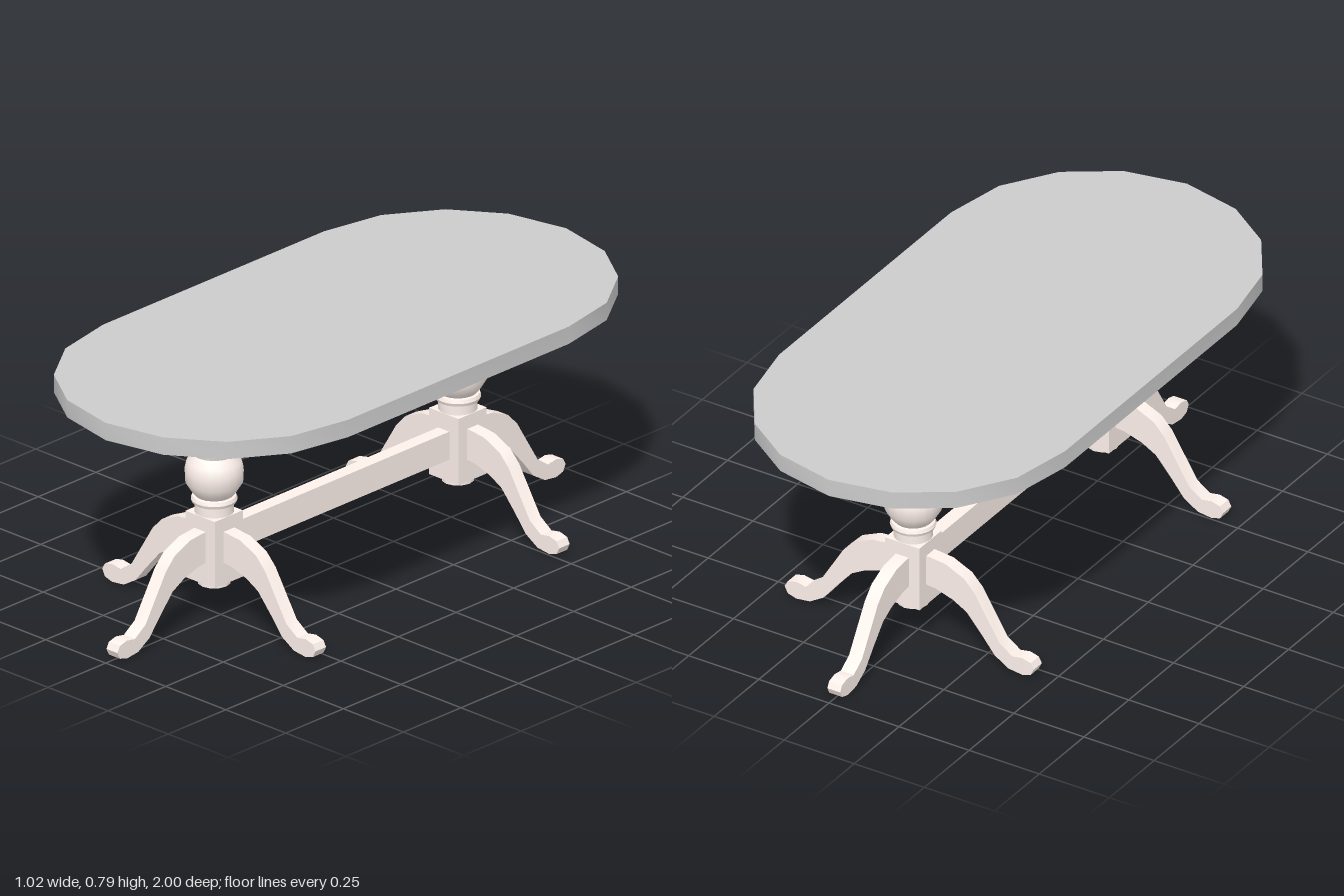
import * as THREE from 'three';
import { toCreasedNormals } from 'three/addons/utils/BufferGeometryUtils.js';

const wood = new THREE.MeshStandardMaterial({ color: 0xfdf0ea });
const grey = new THREE.MeshStandardMaterial({ color: 0xcccccc });
const CREASE = 0.65;

function part(name, geometry, material = wood) {
  const mesh = new THREE.Mesh(geometry, material);
  mesh.name = name;
  return mesh;
}

// Flat outline given thickness, centred on its own plane
function slab(points, depth) {
  const shape = new THREE.Shape(points.map(([x, y]) => new THREE.Vector2(x, y)));
  const geometry = new THREE.ExtrudeGeometry(shape, { depth, bevelEnabled: false });
  geometry.translate(0, 0, -depth / 2);
  return toCreasedNormals(geometry, CREASE);
}

// Oval top, mirrored from one quarter of its outline
function tableTop() {
  const q = [[0.51, 0.48], [0.47, 0.685], [0.36, 0.85], [0.2, 0.958]];
  const half = [...q, [0, 1], ...q.slice().reverse().map(([x, z]) => [-x, z])];
  const outline = [...half, ...half.map(([x, z]) => [-x, -z])];
  const geometry = slab(outline, 0.057);
  geometry.rotateX(-Math.PI / 2);
  geometry.translate(0, 0.763, 0);
  return part('tableTop', geometry, grey);
}

// Curved leg outline, running out along +x from the block
const LEG = [
  [0.05, 0.309], [0.07, 0.308], [0.13, 0.302], [0.196, 0.272], [0.234, 0.232],
  [0.322, 0.087], [0.368, 0.055], [0.403, 0.061], [0.433, 0.053], [0.444, 0.033],
  [0.433, 0.011], [0.403, 0.002], [0.354, 0.008], [0.305, 0.038], [0.259, 0.095],
  [0.204, 0.158], [0.155, 0.185], [0.093, 0.204], [0.05, 0.208],
].reverse();

// Turned column profile: radius, height
const COLUMN = [
  [0.06, 0.35], [0.06, 0.383], [0.067, 0.385], [0.071, 0.395], [0.067, 0.406], [0.058, 0.408],
  [0.07, 0.422], [0.088, 0.452], [0.09, 0.49], [0.083, 0.52], [0.062, 0.543],
  [0.067, 0.545], [0.071, 0.556], [0.067, 0.567], [0.06, 0.569],
  [0.067, 0.571], [0.071, 0.582], [0.067, 0.593], [0.056, 0.596],
  [0.075, 0.613], [0.098, 0.642], [0.099, 0.672], [0.097, 0.703], [0.068, 0.737],
];

function pedestal() {
  const group = new THREE.Group();
  group.name = 'pedestal';

  const profile = COLUMN.map(([r, y]) => new THREE.Vector2(r, y));
  group.add(part('turnedColumn', toCreasedNormals(new THREE.LatheGeometry(profile, 20), CREASE)));

  const block = part('block', new THREE.BoxGeometry(0.122, 0.218, 0.122));
  block.position.y = 0.244;
  group.add(block);

  const plug = part('bottomPlug', new THREE.CylinderGeometry(0.05, 0.05, 0.02, 12));
  plug.position.y = 0.128;
  group.add(plug);

  // Two side legs and one pointing outward (+z)
  const legGeometry = slab(LEG, 0.046);
  [['leftLeg', 0], ['outerLeg', -Math.PI / 2], ['rightLeg', Math.PI]].forEach(([name, angle]) => {
    const leg = part(name, legGeometry);
    leg.rotation.y = angle;
    group.add(leg);
  });
  return group;
}

export function createModel() {
  const model = new THREE.Group();
  model.name = 'pedestalTable';
  model.add(tableTop());

  // A pedestal near each end, the back one turned around
  for (const side of [1, -1]) {
    const p = pedestal();
    p.name = side > 0 ? 'frontPedestal' : 'backPedestal';
    p.position.z = side * 0.529;
    if (side < 0) p.rotation.y = Math.PI;
    model.add(p);
  }

  // Rail joining the two blocks
  const stretcher = part('stretcher', new THREE.BoxGeometry(0.046, 0.092, 0.96));
  stretcher.position.y = 0.254;
  model.add(stretcher);
  return model;
}
